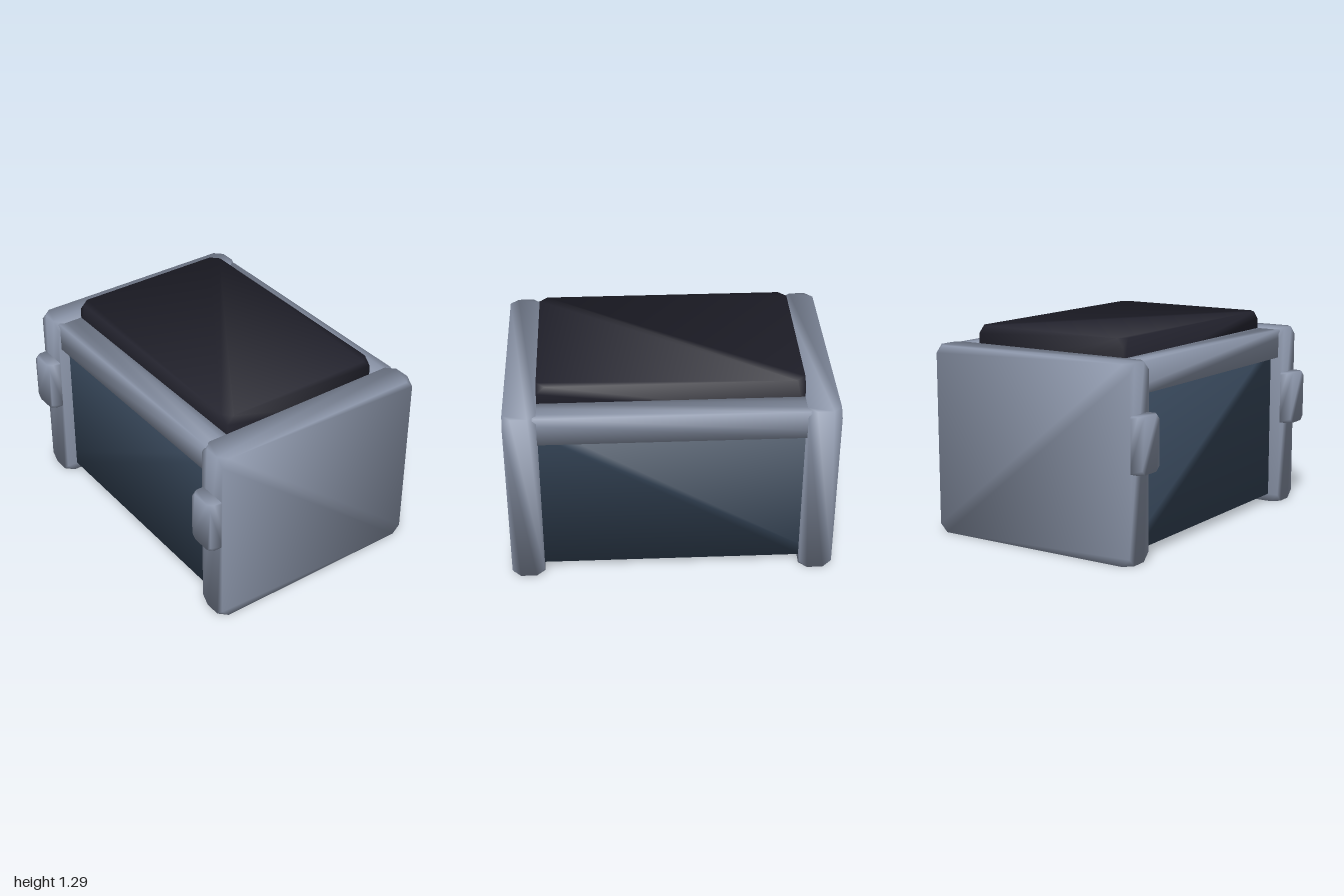
import * as THREE from 'three';

const mat = (name, color) => {
  const m = new THREE.MeshStandardMaterial({ color });
  m.name = name;
  return m;
};

// Box with its eight corners cut off and soft normals along the edges.
function cutBox(min, max, cut) {
  const mid = min.map((v, i) => (v + max[i]) / 2);
  const half = min.map((v, i) => (max[i] - v) / 2);
  const pos = [], nor = [], index = [], ids = {};
  // One vertex per corner and per edge direction leaving that corner.
  const vertex = (signs, along) => {
    const key = signs.join() + '/' + along;
    if (ids[key] === undefined) {
      ids[key] = pos.length / 3;
      pos.push(...signs.map((s, i) => mid[i] + s * (half[i] - (i === along ? cut : 0))));
      nor.push(...new THREE.Vector3(...signs.map((s, i) => (i === along ? s * 0.2 : s))).normalize().toArray());
    }
    return ids[key];
  };

  // Six octagonal sides.
  const fan = [[3, 7, 0], [3, 0, 1], [3, 1, 2], [7, 3, 4], [7, 4, 5], [7, 5, 6]];
  for (let a = 0; a < 3; a++) {
    for (const s of [-1, 1]) {
      const u = (a + 1) % 3, v = (a + 2) % 3;
      const at = (su, sv, along) => {
        const signs = [0, 0, 0];
        signs[a] = s; signs[u] = su; signs[v] = sv;
        return vertex(signs, along);
      };
      const ring = [
        at(-1, -1, u), at(1, -1, u), at(1, -1, v), at(1, 1, v),
        at(1, 1, u), at(-1, 1, u), at(-1, 1, v), at(-1, -1, v),
      ];
      for (const [i, j, k] of fan) {
        index.push(...(s > 0 ? [ring[i], ring[j], ring[k]] : [ring[i], ring[k], ring[j]]));
      }
    }
  }

  // Eight corner triangles.
  for (const x of [-1, 1]) for (const y of [-1, 1]) for (const z of [-1, 1]) {
    const t = [0, 1, 2].map((along) => vertex([x, y, z], along));
    index.push(...(x * y * z > 0 ? t : t.reverse()));
  }

  const g = new THREE.BufferGeometry();
  g.setAttribute('position', new THREE.Float32BufferAttribute(pos, 3));
  g.setAttribute('normal', new THREE.Float32BufferAttribute(nor, 3));
  g.setIndex(index);
  return g;
}

export function createModel() {
  const model = new THREE.Group();
  model.name = 'paddedBox';
  const frame = mat('greyFrame', 0x8a94a8);
  const core = mat('slateBlue', 0x364659);
  const pad = mat('darkPad', 0x22222d);

  const add = (name, material, min, max, cut = 0.05) => {
    const mesh = new THREE.Mesh(cutBox(min, max, cut), material);
    mesh.name = name;
    model.add(mesh);
  };

  // Core between the panels, its ends sunk into them
  add('body', core, [-0.86, 0.05, -0.68], [0.86, 1.1, 0.6]);
  // Pad on top
  add('cushion', pad, [-0.8, 1.0, -0.575], [0.8, 1.29, 0.495]);
  // Rails along the top edges
  add('frontRail', frame, [-0.86, 0.99, 0.495], [0.86, 1.175, 0.655]);
  add('backRail', frame, [-0.86, 0.99, -0.74], [0.86, 1.175, -0.575]);

  // Side panels with a block on each front edge
  for (const [side, s] of [['left', 1], ['right', -1]]) {
    const span = (a, b) => (s > 0 ? [a, b] : [-b, -a]);
    const [p0, p1] = span(0.8, 1);
    add(side + 'Panel', frame, [p0, 0, -0.75], [p1, 1.18, 0.67]);
    const [b0, b1] = span(0.81, 0.99);
    add(side + 'Block', frame, [b0, 0.55, 0.63], [b1, 0.885, 0.75], 0.03);
  }
  return model;
}
